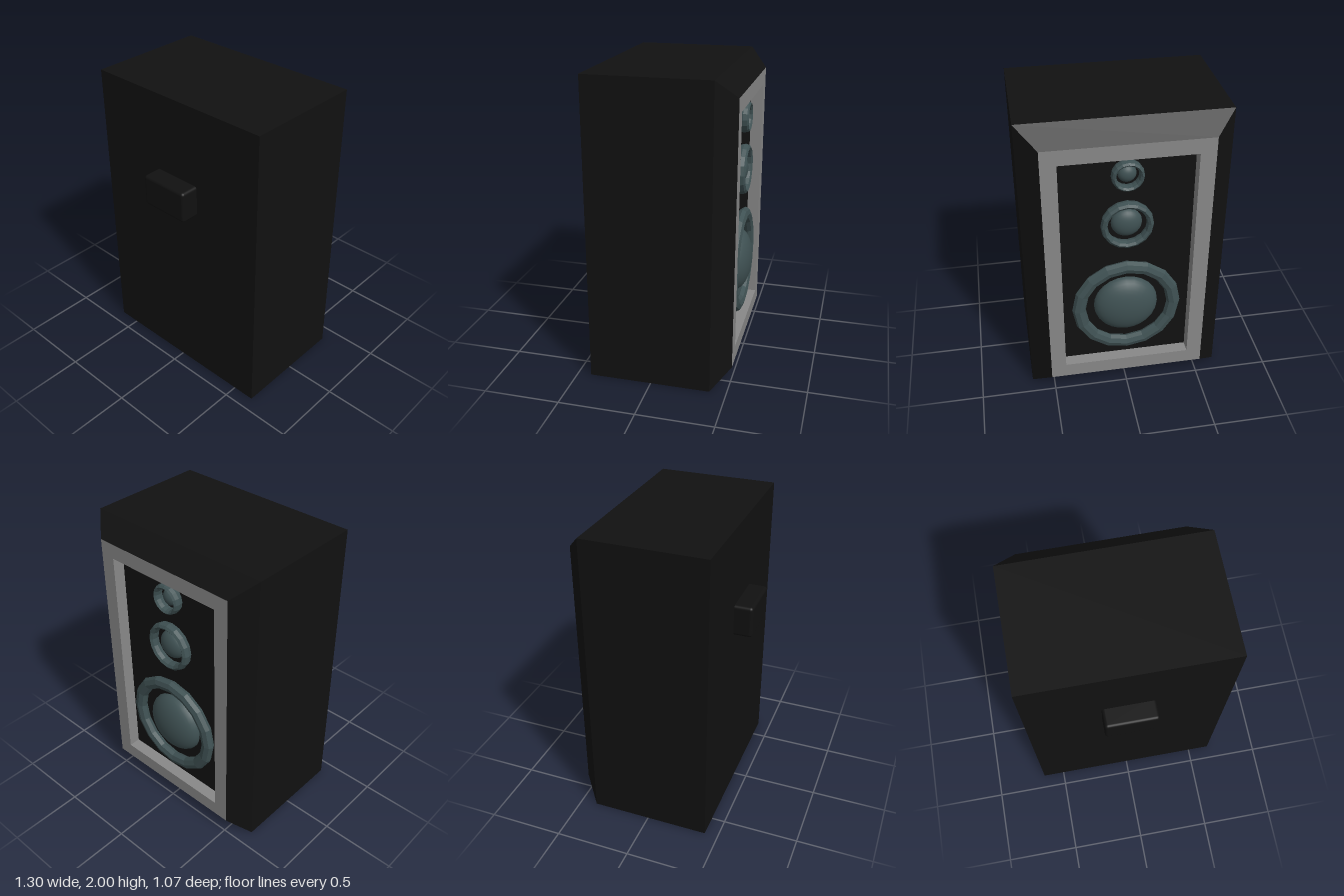
import * as THREE from 'three';
import { RoundedBoxGeometry } from 'three/addons/geometries/RoundedBoxGeometry.js';

const black = new THREE.MeshStandardMaterial({ color: 0x111111 });
const grey = new THREE.MeshStandardMaterial({ color: 0x888888 });
const teal = new THREE.MeshStandardMaterial({ color: 0x3f5153 });
const tealFlat = new THREE.MeshStandardMaterial({ color: 0x3f5153, flatShading: true });

const PANEL_Z = -0.43; // recessed baffle
const FACE_Z = -0.51;  // outer face of the frame

function add(parent, name, geometry, material, x = 0, y = 0, z = 0) {
  const mesh = new THREE.Mesh(geometry, material);
  mesh.name = name;
  mesh.position.set(x, y, z);
  parent.add(mesh);
  return mesh;
}

// Box shell lofted through rectangles [halfWidth, halfHeight, z], closed at the first one
function cabinetGeometry(sections) {
  const loops = sections.map(([w, h, z]) => [[-w, -h, z], [w, -h, z], [w, h, z], [-w, h, z]]);
  const positions = [];
  const quad = (a, b, c, d) => positions.push(...a, ...b, ...c, ...a, ...c, ...d);
  quad(...loops[0]);
  for (let s = 0; s < loops.length - 1; s++) {
    const a = loops[s], b = loops[s + 1];
    for (let i = 0; i < 4; i++) {
      const j = (i + 1) % 4;
      quad(a[i], b[i], b[j], a[j]);
    }
  }
  const geometry = new THREE.BufferGeometry();
  geometry.setAttribute('position', new THREE.Float32BufferAttribute(positions, 3));
  geometry.computeVertexNormals();
  return geometry;
}

// Rectangular frame with a rectangular opening
function frameGeometry(w, h, border, depth) {
  const rect = (T, x, y) => {
    const p = new T();
    p.moveTo(-x, -y);
    p.lineTo(x, -y);
    p.lineTo(x, y);
    p.lineTo(-x, y);
    p.closePath();
    return p;
  };
  const shape = rect(THREE.Shape, w, h);
  shape.holes.push(rect(THREE.Path, w - border, h - border));
  return new THREE.ExtrudeGeometry(shape, { depth, bevelEnabled: false });
}

// Faceted surround ring and a shallow dome
function speaker(name, y, ringRadius, tube, domeRadius, domeDepth) {
  const group = new THREE.Group();
  group.name = name;
  group.position.set(0, y, PANEL_Z);
  const ring = add(group, name + 'Ring', new THREE.TorusGeometry(ringRadius, tube, 8, 16), tealFlat, 0, 0, -0.032);
  ring.scale.z = 0.036 / tube;
  const domeGeometry = new THREE.SphereGeometry(1, 24, 10, 0, Math.PI * 2, 0, Math.PI / 2);
  domeGeometry.rotateX(-Math.PI / 2);
  const dome = add(group, name + 'Dome', domeGeometry, teal);
  dome.scale.set(domeRadius, domeRadius, domeDepth);
  return group;
}

export function createModel() {
  const model = new THREE.Group();
  model.name = 'loudspeaker';

  // Cabinet with chamfered edges around the speaker side
  add(model, 'cabinet', cabinetGeometry([
    [0.65, 1, 0.41], [0.65, 1, -0.39], [0.52, 0.88, FACE_Z],
  ]), black, 0, 1, 0);
  add(model, 'baffle', new THREE.BoxGeometry(0.9, 1.62, 0.02), black, 0, 1, PANEL_Z + 0.01);
  add(model, 'frame', frameGeometry(0.52, 0.88, 0.1, PANEL_Z - FACE_Z), grey, 0, 1, FACE_Z);

  // Speakers from bottom to top
  model.add(
    speaker('woofer', 0.655, 0.315, 0.045, 0.212, 0.105),
    speaker('midrange', 1.3, 0.145, 0.022, 0.098, 0.06),
    speaker('tweeter', 1.65, 0.086, 0.016, 0.058, 0.045),
  );

  // Block on the plain side, sunk slightly into the cabinet
  add(model, 'mountBlock', new RoundedBoxGeometry(0.34, 0.21, 0.16, 3, 0.02), black, 0, 1.375, 0.45);

  return model;
}
